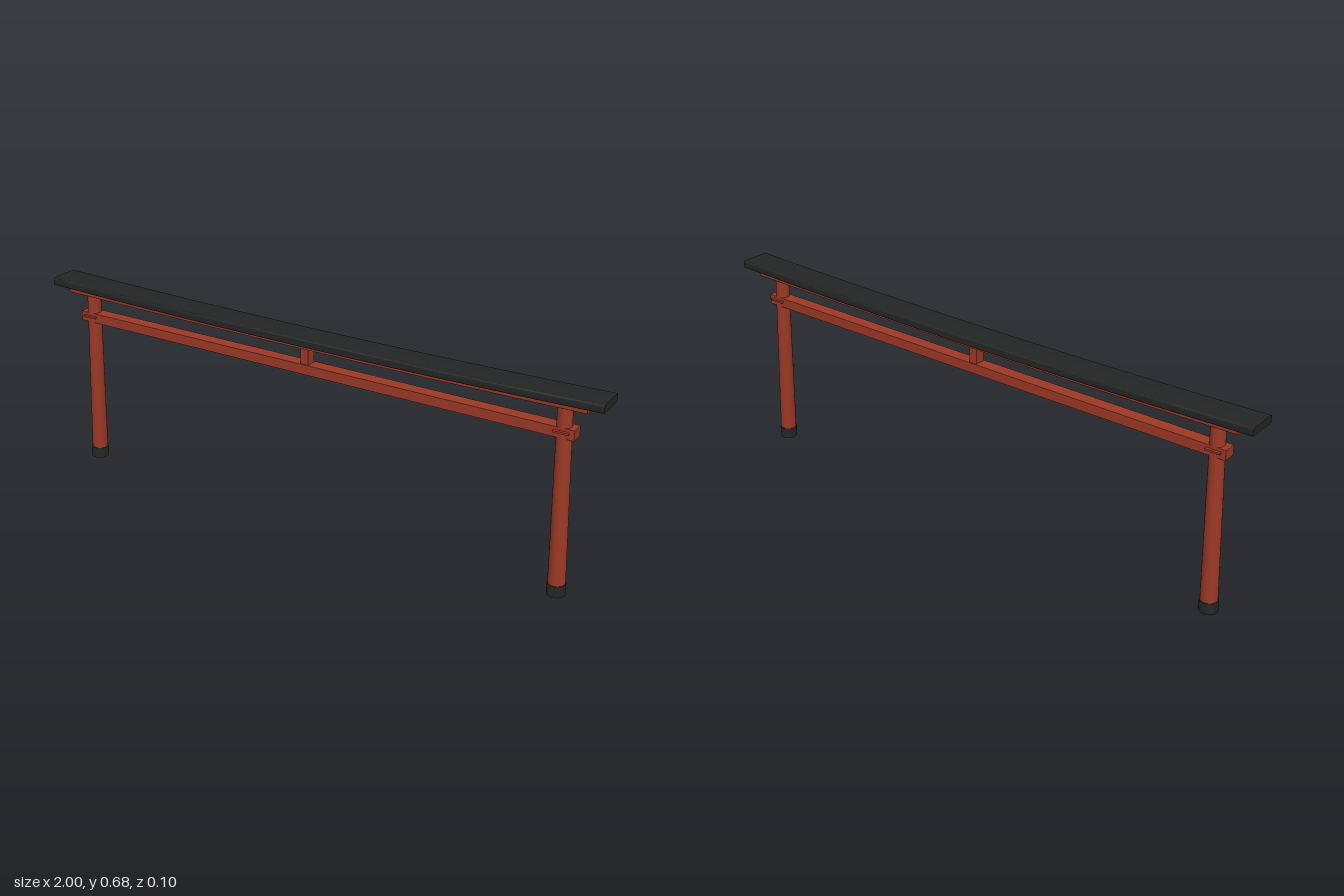
import * as THREE from 'three';
import { toCreasedNormals } from 'three/addons/utils/BufferGeometryUtils.js';

export function createModel() {
  const model = new THREE.Group();
  model.name = 'gate';

  const red = new THREE.MeshStandardMaterial({ color: 0x9c3825 });
  red.name = 'vermilion paint';
  const black = new THREE.MeshStandardMaterial({ color: 0x242525, side: THREE.DoubleSide });
  black.name = 'black lacquer';

  function add(name, geometry, material, parent = model) {
    const mesh = new THREE.Mesh(geometry, material);
    mesh.name = name;
    parent.add(mesh);
    return mesh;
  }

  // Beam along x with softened edges, its ends swept upward
  function sweptBeam(length, height, depth, r, rise) {
    const w = depth / 2, h = height / 2;
    const s = new THREE.Shape();
    s.moveTo(-w + r, -h);
    s.lineTo(w - r, -h);
    s.quadraticCurveTo(w, -h, w, -h + r);
    s.lineTo(w, h - r);
    s.quadraticCurveTo(w, h, w - r, h);
    s.lineTo(-w + r, h);
    s.quadraticCurveTo(-w, h, -w, h - r);
    s.lineTo(-w, -h + r);
    s.quadraticCurveTo(-w, -h, -w + r, -h);
    const g = new THREE.ExtrudeGeometry(s, { depth: length, steps: 20, bevelEnabled: false, curveSegments: 3 });
    g.translate(0, 0, -length / 2);
    g.rotateY(Math.PI / 2);
    const p = g.attributes.position;
    for (let i = 0; i < p.count; i++) p.setY(i, p.getY(i) + rise * p.getX(i) ** 2);
    return toCreasedNormals(g, 0.6);
  }

  // Top lintel and the beam beneath it
  add('topLintel', sweptBeam(2, 0.026, 0.105, 0.005, 0.0145), black).position.y = 0.648;
  add('underLintel', sweptBeam(1.89, 0.017, 0.064, 0.001, 0.0085), red).position.y = 0.629;

  // Tie beam and centre strut
  add('tieBeam', new THREE.BoxGeometry(1.82, 0.033, 0.044), red).position.y = 0.546;
  add('centreStrut', new THREE.BoxGeometry(0.028, 0.068, 0.036), red).position.y = 0.592;

  // Inward-leaning pillars, each with a base collar and a wedge
  for (const side of [-1, 1]) {
    const pillar = new THREE.Group();
    pillar.name = side > 0 ? 'leftPillar' : 'rightPillar';
    pillar.position.set(side * 0.89, 0.001, 0);
    pillar.rotation.z = side * Math.atan(0.023 / 0.63);
    model.add(pillar);

    const shaft = new THREE.CylinderGeometry(0.023, 0.028, 0.63, 24);
    shaft.translate(0, 0.315, 0);
    add('shaft', shaft, red, pillar);

    const profile = [[0.03, 0], [0.0295, 0.039], [0.0275, 0.039]].map(([x, y]) => new THREE.Vector2(x, y));
    add('baseCollar', toCreasedNormals(new THREE.LatheGeometry(profile, 24), 0.6), black, pillar);

    const wedge = add('wedge', new THREE.BoxGeometry(0.05, 0.006, 0.064), red);
    wedge.position.set(side * 0.87, 0.55, 0);
  }

  return model;
}
